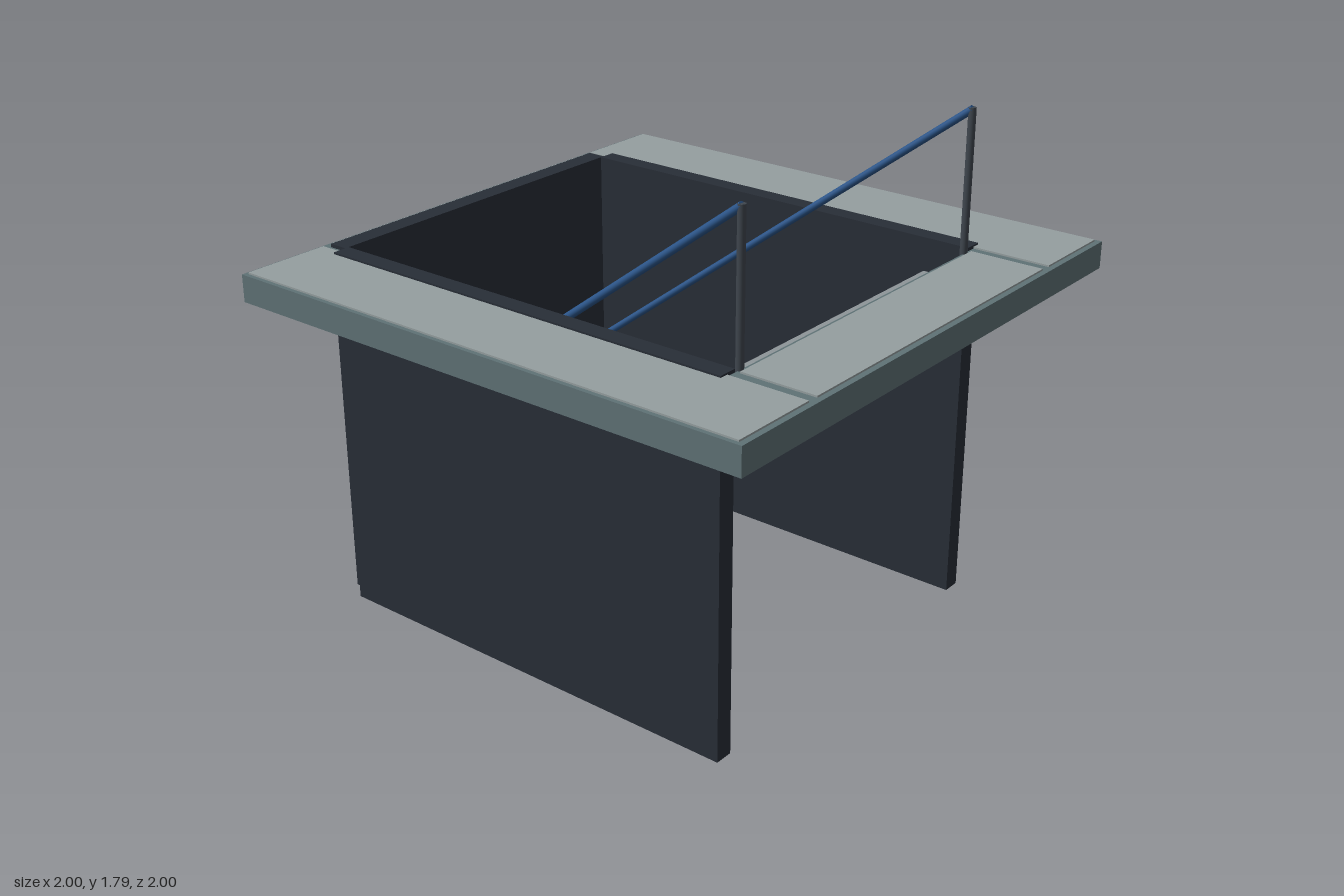
import * as THREE from 'three';

const mat = (color) => new THREE.MeshStandardMaterial({ color });

export function createModel() {
  const root = new THREE.Group();
  const wallMat = mat(0x282e37), slabMat = mat(0x5f7276), paverMat = mat(0x959fa0);
  const stepMat = mat(0x8f9699), nosingMat = mat(0xb8912f), railMat = mat(0x2a5488);
  const postMat = mat(0x3f464e), drainMat = mat(0x7f9c98);

  // Box given by its min and max on each axis
  function box(name, material, [x0, x1], [y0, y1], [z0, z1], parent = root) {
    const m = new THREE.Mesh(new THREE.BoxGeometry(x1 - x0, y1 - y0, z1 - z0), material);
    m.position.set((x0 + x1) / 2, (y0 + y1) / 2, (z0 + z1) / 2);
    m.name = name;
    parent.add(m);
    return m;
  }

  // Ground slab with the stairwell opening
  const outline = new THREE.Shape([[-1, -1], [1, -1], [1, 1], [-1, 1]].map(p => new THREE.Vector2(...p)));
  outline.holes.push(new THREE.Path(
    [[-0.65, -0.7], [-0.65, 0.92], [0.65, 0.92], [0.65, -0.7]].map(p => new THREE.Vector2(...p))));
  const slabGeo = new THREE.ExtrudeGeometry(outline, { depth: 0.095, bevelEnabled: false });
  slabGeo.rotateX(-Math.PI / 2);
  const slab = new THREE.Mesh(slabGeo, slabMat);
  slab.position.y = 1.19;
  slab.name = 'groundSlab';
  root.add(slab);

  // Paving on top of the slab
  const paveY = [1.28, 1.291];
  box('frontPaving', paverMat, [-0.63, 0.63], paveY, [0.715, 0.98]);
  box('backPaving', paverMat, [-0.63, 0.63], paveY, [-0.985, -0.93]);
  box('leftPaving', paverMat, [0.67, 0.985], paveY, [-0.985, 0.98]);
  box('rightPaving', paverMat, [-0.985, -0.67], paveY, [-0.985, 0.98]);

  // Retaining walls
  const wallY = [0, 1.297];
  box('leftWall', wallMat, [0.635, 0.7], wallY, [-0.9, 0.7]);
  box('rightWall', wallMat, [-0.7, -0.635], wallY, [-0.9, 0.7]);
  box('backWall', wallMat, [-0.65, 0.65], wallY, [-0.97, -0.9]);

  // Stairs descending to the back, each with a coloured nosing
  const stairs = new THREE.Group();
  stairs.name = 'stairs';
  root.add(stairs);
  for (let i = 0; i < 10; i++) {
    const top = 1.178 - 0.12 * i, front = 0.705 - 0.16 * i;
    box('step', stepMat, [-0.637, 0.637], [top - 0.088, top], [front - 0.17, front], stairs);
    box('nosing', nosingMat, [-0.63, 0.63], [top - 0.002, top + 0.015], [front - 0.035, front - 0.007], stairs);
  }

  // Drain at the foot of the stairs
  box('drain', drainMat, [-0.55, 0.55], [0.09, 0.106], [-0.887, -0.873]);

  // Handrails parallel to the stairs, with posts at both ends
  for (const side of [1, -1]) {
    const handrail = new THREE.Group();
    handrail.name = side > 0 ? 'leftHandrail' : 'rightHandrail';
    root.add(handrail);
    const x = 0.61 * side;
    const a = new THREE.Vector3(x, 1.775, 0.7), b = new THREE.Vector3(x, 0.575, -0.89);
    const dir = b.clone().sub(a);
    const rail = new THREE.Mesh(new THREE.CylinderGeometry(0.013, 0.013, dir.length(), 12), railMat);
    rail.position.copy(a).add(b).multiplyScalar(0.5);
    rail.quaternion.setFromUnitVectors(new THREE.Vector3(0, 1, 0), dir.normalize());
    rail.name = 'rail';
    handrail.add(rail);
    for (const [y0, y1, z] of [[1.17, 1.78, 0.698], [0.09, 0.575, -0.885]]) {
      const post = new THREE.Mesh(new THREE.CylinderGeometry(0.013, 0.013, y1 - y0, 12), postMat);
      post.position.set(x, (y0 + y1) / 2, z);
      post.name = 'post';
      handrail.add(post);
    }
  }
  return root;
}
